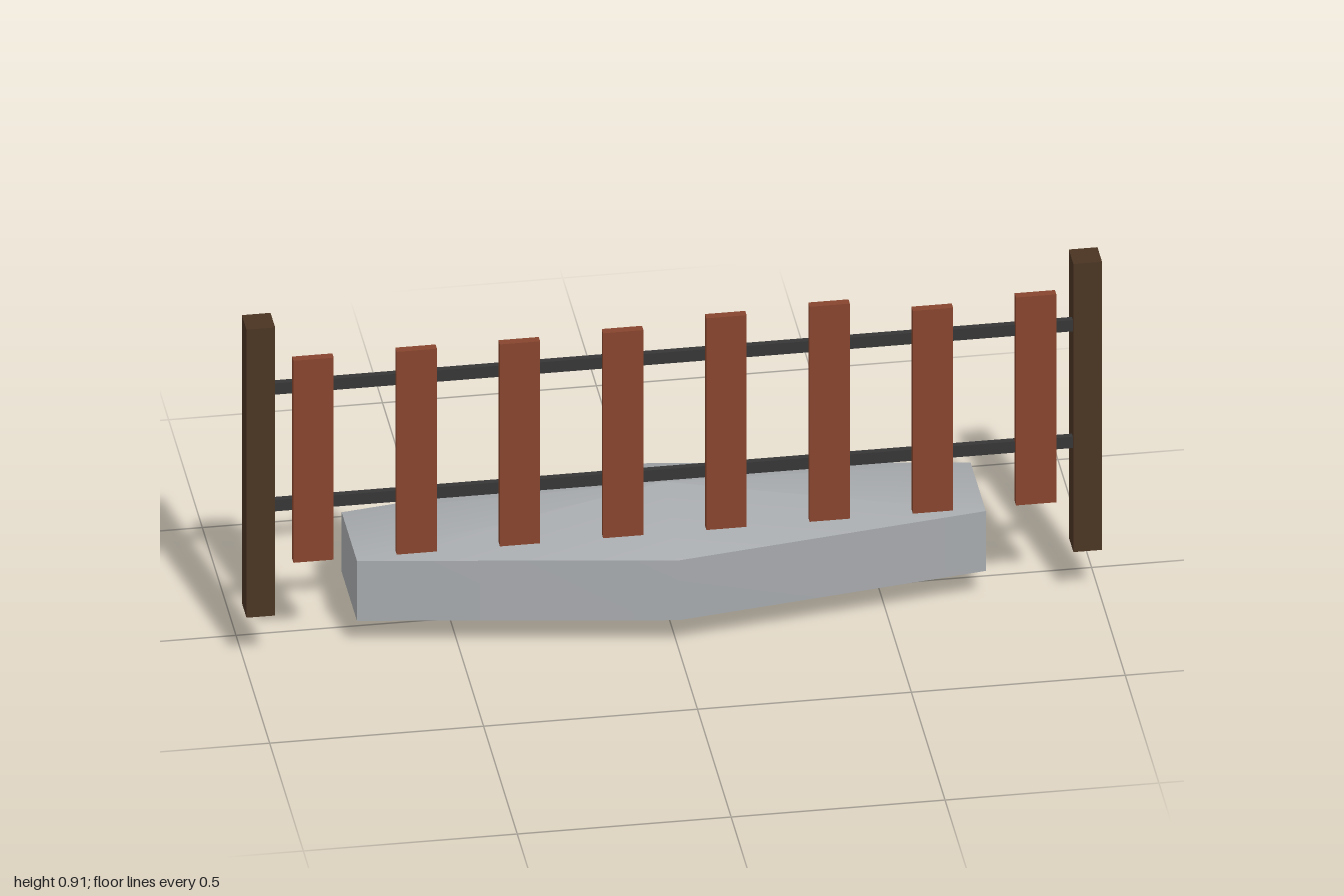
import * as THREE from 'three';
import { toCreasedNormals } from 'three/addons/utils/BufferGeometryUtils.js';

function material(name, color) {
  const m = new THREE.MeshStandardMaterial({ color });
  m.name = name;
  return m;
}

export function createModel() {
  const model = new THREE.Group();
  model.name = 'fenceWithRock';

  const darkWood = material('dark wood', 0x4a3422);
  const redWood = material('red brown wood', 0x87452d);
  const iron = material('dark iron', 0x363636);
  const stone = material('grey stone', 0xa6a9ac);

  const box = (name, mat, size, position) => {
    const mesh = new THREE.Mesh(new THREE.BoxGeometry(...size), mat);
    mesh.name = name;
    mesh.position.set(...position);
    model.add(mesh);
  };

  // End posts
  for (const [name, side] of [['leftPost', 1], ['rightPost', -1]]) {
    box(name, darkWood, [0.067, 0.77, 0.068], [side * 0.9665, 0.523, 0.122]);
  }

  // Rails between the posts
  box('lowerRail', iron, [1.93, 0.03, 0.015], [0, 0.427, 0.141]);
  box('upperRail', iron, [1.93, 0.03, 0.015], [0, 0.739, 0.141]);

  // Pickets share a bottom line but have uneven tops
  const bottom = 0.282;
  const tops = [0.822, 0.824, 0.822, 0.83, 0.848, 0.857, 0.824, 0.838];
  tops.forEach((top, i) => {
    const height = top - bottom;
    box(`picket${i + 1}`, redWood, [0.094, height, 0.02],
      [-0.845 + i * 0.2413, bottom + height / 2, 0.158]);
  });

  // Stretched six-sided rock with pointed top and bottom
  const rockShape = new THREE.SphereGeometry(1, 6, 3);
  rockShape.rotateY(Math.PI / 6);
  rockShape.scale(0.98, 0.16, 0.261);
  const rock = new THREE.Mesh(toCreasedNormals(rockShape, 0.6), stone);
  rock.name = 'rock';
  rock.position.y = 0.161;
  model.add(rock);

  return model;
}
